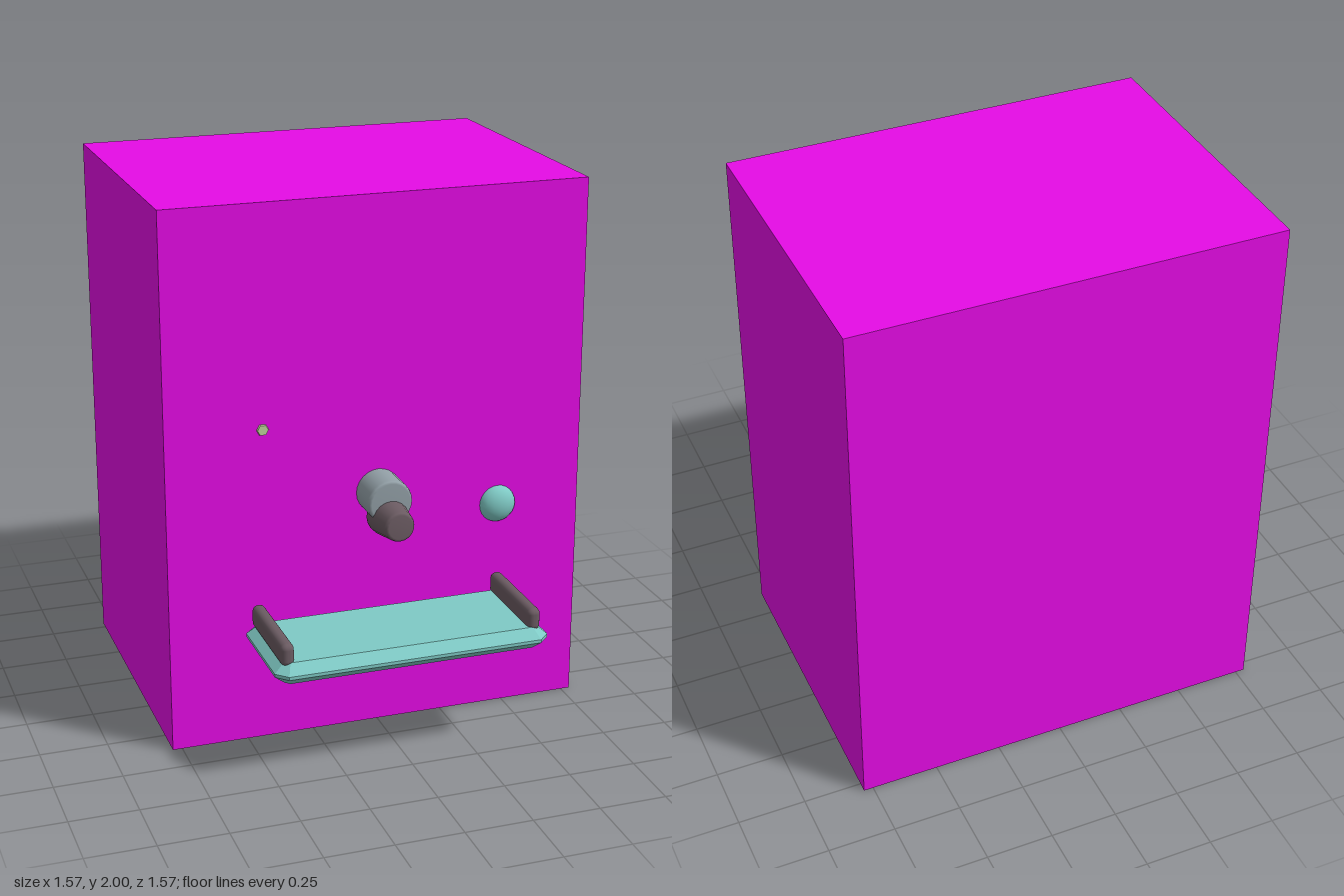
import * as THREE from 'three';
import { RoundedBoxGeometry } from 'three/addons/geometries/RoundedBoxGeometry.js';

const mat = (color) => new THREE.MeshStandardMaterial({ color });

export function createModel() {
  const model = new THREE.Group();
  const magenta = mat(0xe60ce6), teal = mat(0x7fcac5), steel = mat(0x929fa6);
  const dark = mat(0x6b5b62), lime = mat(0xbfd69a);

  const add = (name, geometry, material, x, y, z) => {
    const mesh = new THREE.Mesh(geometry, material);
    mesh.name = name;
    mesh.position.set(x, y, z);
    model.add(mesh);
    return mesh;
  };

  // Plain cabinet
  add('cabinet', new THREE.BoxGeometry(1.57, 2, 1.155), magenta, 0, 1, -0.2085);

  // Tray: clipped-corner plate whose rim comes to an edge at mid height
  const w = 0.47, d = 0.175, c = 0.017, rim = 0.04;
  const plate = new THREE.Shape([
    [w - c, -d], [w, -d + c], [w, d - c], [w - c, d],
    [-w + c, d], [-w, d - c], [-w, -d + c], [-w + c, -d],
  ].map(([x, y]) => new THREE.Vector2(x, y)));
  const tray = new THREE.ExtrudeGeometry(plate, {
    depth: 0.012, bevelEnabled: true, bevelSize: rim, bevelThickness: 0.034, bevelSegments: 1,
  });
  tray.translate(0, 0, -0.006);
  tray.rotateX(-Math.PI / 2);
  add('tray', tray, teal, 0, 0.43, 0.573);

  // Rounded rails along both ends of the tray
  for (const [name, side] of [['leftRail', 1], ['rightRail', -1]]) {
    add(name, new RoundedBoxGeometry(0.048, 0.085, 0.375, 3, 0.022), dark, side * 0.46, 0.495, 0.563);
  }

  // Spout body: cylinder with a softened front edge
  const spout = new THREE.LatheGeometry([
    [0.083, 0], [0.083, 0.175], [0.08, 0.186], [0.072, 0.19], [0, 0.19],
  ].map(([r, h]) => new THREE.Vector2(r, h)), 24);
  spout.rotateX(Math.PI / 2);
  add('spout', spout, steel, 0, 0.911, 0.315);

  // Tapered nozzle, dipping slightly towards the back
  const nozzle = new THREE.LatheGeometry([
    [0, 0], [0.064, 0], [0.073, 0.01], [0.073, 0.025], [0.056, 0.15], [0.052, 0.16], [0.044, 0.164], [0, 0.164],
  ].map(([r, h]) => new THREE.Vector2(r, h)), 20);
  nozzle.rotateX(Math.PI / 2);
  add('nozzle', nozzle, dark, 0, 0.848, 0.44).rotation.x = -0.05;

  // Domed knob
  add('knob', new THREE.SphereGeometry(0.071, 16, 12), teal, 0.465, 0.803, 0.363).scale.z = 0.68;

  // Small six-sided indicator lamp
  const lamp = new THREE.CylinderGeometry(0.02, 0.028, 0.02, 6);
  lamp.rotateY(Math.PI / 6);
  lamp.rotateX(Math.PI / 2);
  add('indicatorLamp', lamp, lime, -0.43, 1.19, 0.366);

  return model;
}
